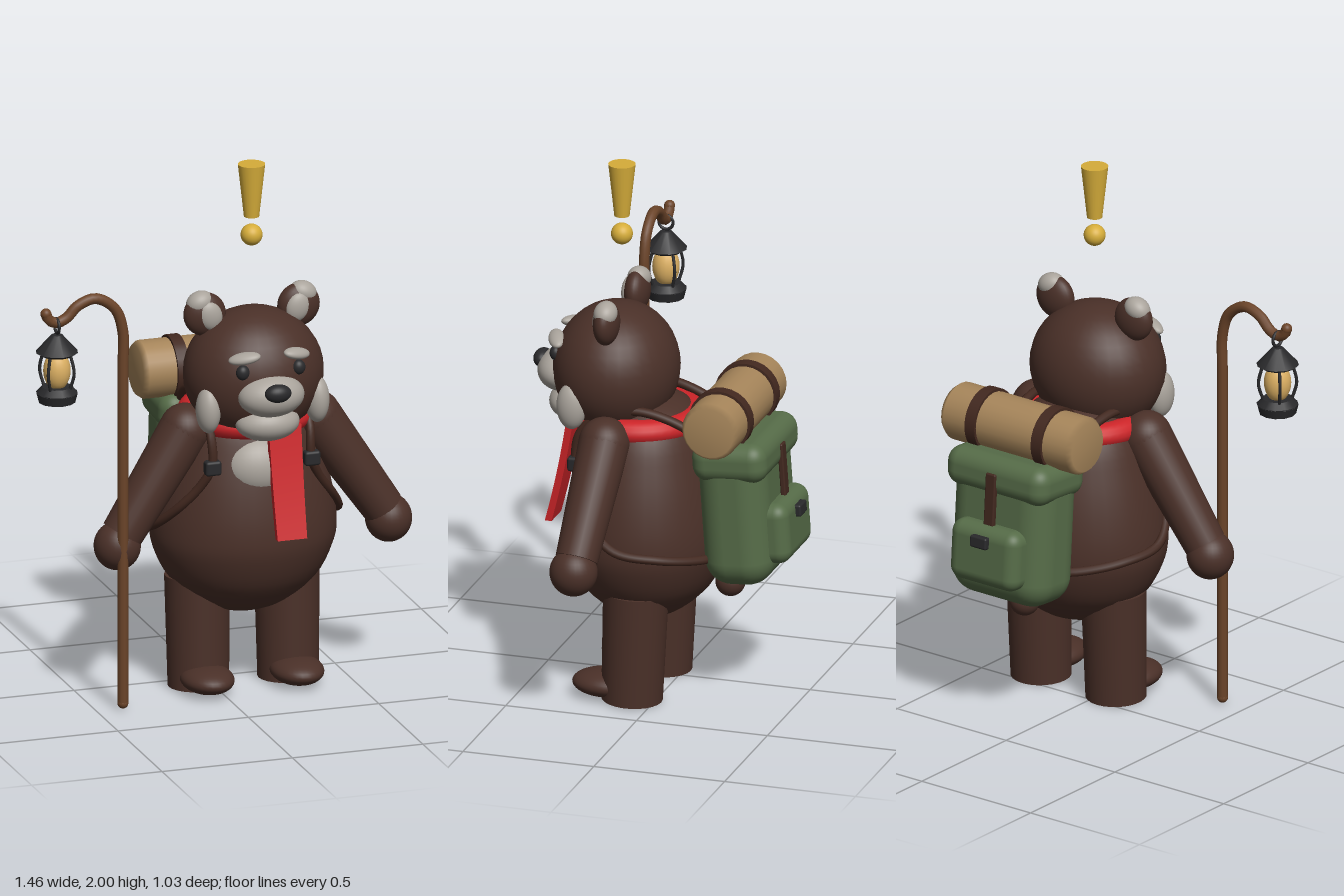
import * as THREE from 'three';
import { RoundedBoxGeometry } from 'three/addons/geometries/RoundedBoxGeometry.js';

const material = (name, color) => {
  const m = new THREE.MeshStandardMaterial({ color });
  m.name = name;
  return m;
};
const V = (x, y, z) => new THREE.Vector3(x, y, z);

export function createModel() {
  const fur = material('brown fur', 0x4a3028);
  const grey = material('grey fur', 0xaaa49c);
  const red = material('red wool', 0xcc2428);
  const wood = material('wood', 0x6b4429);
  const tan = material('tan cloth', 0xa6855a);
  const green = material('green canvas', 0x566c48);
  const dark = material('dark metal', 0x29292b);
  const gold = material('gold', 0xd6ad3a);
  const leather = material('leather', 0x42281f);
  const glow = material('lamp glow', 0xdcb063);

  const model = new THREE.Group();
  model.name = 'travellingBear';
  // everything is placed about the bear's own middle line
  const bear = new THREE.Group();
  bear.name = 'bear';
  bear.position.x = 0.12;
  model.add(bear);

  const add = (name, geometry, mat, pos = [0, 0, 0], rot = [0, 0, 0], parent = bear) => {
    const mesh = new THREE.Mesh(geometry, mat);
    mesh.name = name;
    mesh.position.set(...pos);
    mesh.rotation.set(...rot);
    parent.add(mesh);
    return mesh;
  };
  const ball = (name, mat, pos, r, rot) => {
    const mesh = add(name, new THREE.SphereGeometry(1, 32, 20), mat, pos, rot);
    mesh.scale.set(...r);
    return mesh;
  };
  const limb = (name, mat, a, b, ra, rb, sides = 24) => {
    const dir = b.clone().sub(a);
    const mesh = add(name, new THREE.CylinderGeometry(rb, ra, dir.length(), sides), mat);
    mesh.position.copy(a).addScaledVector(dir, 0.5);
    mesh.quaternion.setFromUnitVectors(V(0, 1, 0), dir.normalize());
    return mesh;
  };
  const tube = (name, mat, points, r, n = 48) =>
    add(name, new THREE.TubeGeometry(new THREE.CatmullRomCurve3(points), n, r, 10), mat);

  // pear-shaped body
  const profile = new THREE.SplineCurve([
    [0, 0.27], [0.14, 0.305], [0.27, 0.405], [0.335, 0.53], [0.345, 0.63],
    [0.325, 0.76], [0.285, 0.9], [0.235, 1.02], [0.15, 1.1], [0, 1.14],
  ].map(([x, y]) => new THREE.Vector2(x, y))).getPoints(36);
  profile.forEach((p) => { p.x = Math.max(0, p.x); });
  const body = add('body', new THREE.LatheGeometry(profile, 40), fur, [0, 0, 0.08]);
  body.scale.z = 0.87;
  ball('chestPatch', grey, [0, 0.88, 0.265], [0.135, 0.115, 0.095], [-0.2, 0, 0]);
  ball('tail', fur, [0, 0.43, -0.235], [0.055, 0.055, 0.055]);

  // head and face
  ball('head', fur, [0, 1.215, 0.2], [0.26, 0.245, 0.23]);
  ball('muzzle', grey, [0, 1.185, 0.4], [0.125, 0.08, 0.095]);
  ball('chin', grey, [0, 1.07, 0.36], [0.12, 0.068, 0.09]);
  ball('nose', dark, [0, 1.215, 0.482], [0.05, 0.034, 0.033]);

  for (const s of [-1, 1]) {
    const side = s > 0 ? 'left' : 'right';
    ball(side + 'Eye', dark, [s * 0.107, 1.28, 0.398], [0.025, 0.028, 0.022]);
    ball(side + 'Brow', grey, [s * 0.1, 1.333, 0.397], [0.06, 0.02, 0.03], [0.3, s * 0.35, -s * 0.3]);
    ball(side + 'Whiskers', grey, [s * 0.208, 1.12, 0.305], [0.045, 0.088, 0.056]);

    // ears with pale tips and insides
    ball(side + 'Ear', fur, [s * 0.18, 1.445, 0.18], [0.08, 0.082, 0.046], [0, 0, -s * 0.3]);
    ball(side + 'EarTip', grey, [s * 0.198, 1.49, 0.178], [0.052, 0.042, 0.043], [0, 0, -s * 0.4]);
    ball(side + 'EarInside', grey, [s * 0.168, 1.445, 0.208], [0.045, 0.056, 0.026], [0, 0, -s * 0.3]);

    // arms
    const shoulder = V(s * 0.25, 1.01, 0.165), wrist = V(s * 0.5, 0.64, 0.19);
    limb(side + 'Arm', fur, shoulder, wrist, 0.094, 0.078);
    ball(side + 'Shoulder', fur, shoulder.toArray(), [0.094, 0.094, 0.094]);
    ball(side + 'Hand', fur, [s * 0.52, 0.6, 0.195], [0.086, 0.09, 0.088]);

    // legs
    limb(side + 'Leg', fur, V(s * 0.172, 0, 0.085), V(s * 0.172, 0.42, 0.07), 0.112, 0.12);
    ball(side + 'Foot', fur, [s * 0.172, 0.052, 0.185], [0.097, 0.05, 0.125]);

    // pack straps round the shoulder and flank
    tube(side + 'Strap', leather, [
      V(s * 0.15, 1.0, -0.19), V(s * 0.16, 1.07, -0.1), V(s * 0.175, 1.115, 0.06),
      V(s * 0.19, 1.09, 0.2), V(s * 0.19, 1.01, 0.28), V(s * 0.19, 0.9, 0.295),
      V(s * 0.225, 0.82, 0.27), V(s * 0.3, 0.72, 0.215), V(s * 0.355, 0.63, 0.1),
      V(s * 0.315, 0.6, -0.06), V(s * 0.2, 0.575, -0.185), V(s * 0.1, 0.57, -0.24),
    ], 0.017, 80);
    add(side + 'StrapBuckle', new RoundedBoxGeometry(0.06, 0.055, 0.04, 2, 0.01), dark, [s * 0.19, 0.895, 0.3]);
    // bands round the bedroll
    add(side + 'BedrollBand', new THREE.CylinderGeometry(0.118, 0.118, 0.045, 24), leather,
      [s * 0.152, 1.11, -0.25], [0, 0, Math.PI / 2]);
  }

  // scarf ring and hanging end
  const ring = add('scarfRing', new THREE.TorusGeometry(0.198, 0.052, 16, 48), red, [0, 1.04, 0.115], [Math.PI / 2, 0, 0]);
  ring.scale.z = 0.88;
  const end = new THREE.BoxGeometry(1, 0.41, 0.026, 1, 10, 1);
  const p = end.attributes.position;
  for (let i = 0; i < p.count; i++) {
    const t = 0.5 - p.getY(i) / 0.41;
    p.setX(i, p.getX(i) * (0.125 - 0.012 * t));
    p.setZ(i, p.getZ(i) + 0.06 * t + 0.025 * t * t);
  }
  end.computeVertexNormals();
  add('scarfEnd', end, red, [0.072, 0.838, 0.335]);

  // backpack, leaning with its top towards the bear
  const pack = new THREE.Group();
  pack.name = 'backpack';
  pack.position.set(0, 0.75, -0.3);
  pack.rotation.x = 0.07;
  bear.add(pack);
  const packBox = (name, size, r, mat, pos) =>
    add(name, new RoundedBoxGeometry(...size, 5, r), mat, pos, [0, 0, 0], pack);
  packBox('packBody', [0.44, 0.53, 0.26], 0.1, green, [0, -0.01, 0]);
  packBox('packFlap', [0.46, 0.15, 0.285], 0.06, green, [0, 0.21, -0.005]);
  packBox('packPocket', [0.31, 0.23, 0.13], 0.05, green, [0, -0.08, -0.13]);
  packBox('packStrap', [0.045, 0.2, 0.02], 0.006, leather, [0, 0.13, -0.146]);
  packBox('pocketBuckle', [0.075, 0.045, 0.03], 0.008, dark, [0, -0.02, -0.2]);

  // bedroll with slightly bevelled ends
  const roll = [[0, -0.3], [0.093, -0.3], [0.108, -0.28], [0.108, 0.28], [0.093, 0.3], [0, 0.3]]
    .map(([x, y]) => new THREE.Vector2(x, y));
  add('bedroll', new THREE.LatheGeometry(roll, 24), tan, [0, 1.11, -0.25], [0, 0, Math.PI / 2]);

  // crooked staff
  const sx = -0.522, sz = 0.265;
  tube('staff', wood, [
    [0, 0.02], [0, 0.5], [0, 1.0], [0, 1.3], [0, 1.44], [-0.03, 1.53], [-0.105, 1.577],
    [-0.175, 1.555], [-0.215, 1.515], [-0.255, 1.5], [-0.285, 1.515], [-0.295, 1.538],
  ].map(([x, y]) => V(sx + x, y, sz)), 0.02, 100);
  ball('staffFoot', wood, [sx, 0.02, sz], [0.02, 0.02, 0.02]);
  ball('staffTip', wood, [sx - 0.295, 1.538, sz], [0.02, 0.02, 0.02]);

  // lantern
  const lantern = new THREE.Group();
  lantern.name = 'lantern';
  lantern.position.set(sx - 0.253, 0, sz);
  bear.add(lantern);
  const lamp = (name, geometry, mat, y, rot) => add(name, geometry, mat, [0, y, 0], rot, lantern);
  lamp('lanternRing', new THREE.TorusGeometry(0.027, 0.006, 8, 20), dark, 1.488, [0, Math.PI / 2, 0]);
  lamp('lanternRoof', new THREE.CylinderGeometry(0.02, 0.078, 0.065, 12), dark, 1.422);
  lamp('lanternEaves', new THREE.CylinderGeometry(0.078, 0.06, 0.012, 12), dark, 1.384);
  lamp('lanternFlame', new THREE.SphereGeometry(0.05, 20, 14), glow, 1.318).scale.y = 1.5;
  lamp('lanternBase', new THREE.CylinderGeometry(0.055, 0.077, 0.025, 12), dark, 1.245);
  lamp('lanternFoot', new THREE.CylinderGeometry(0.077, 0.068, 0.035, 12), dark, 1.217);
  for (let i = 0; i < 4; i++) {
    const a = (i + 0.5) * Math.PI / 2, c = Math.cos(a), d = Math.sin(a);
    const bar = new THREE.CatmullRomCurve3([[0.052, 1.25], [0.07, 1.315], [0.055, 1.385]]
      .map(([r, y]) => V(c * r, y, d * r)));
    lamp('lanternBar', new THREE.TubeGeometry(bar, 12, 0.006, 6), dark, 0);
  }

  // floating exclamation sign
  add('signStem', new THREE.CylinderGeometry(0.05, 0.028, 0.2, 24), gold, [0, 1.9, 0.18]);
  ball('signDot', gold, [0, 1.73, 0.18], [0.04, 0.04, 0.04]);

  return model;
}
